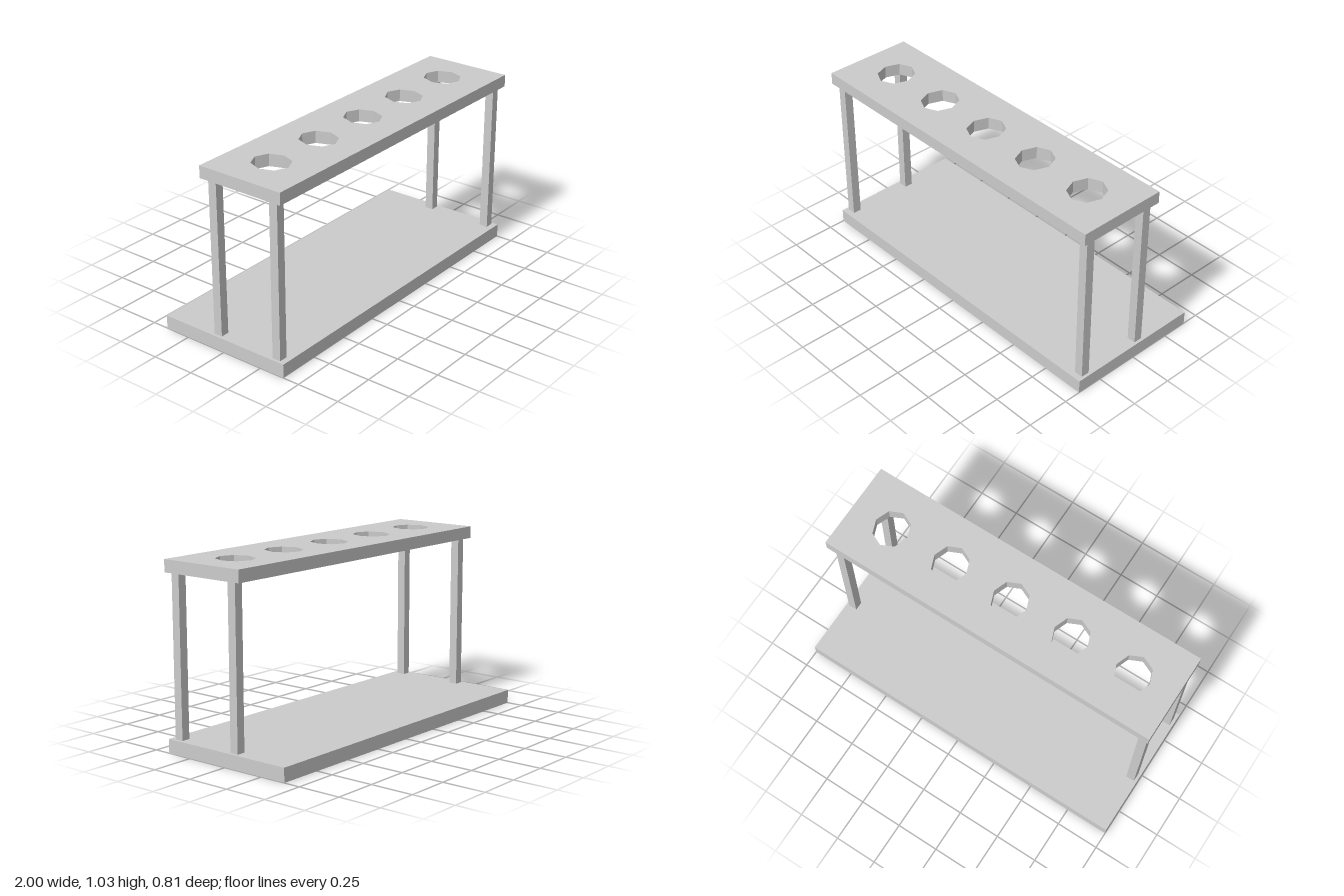
import * as THREE from 'three';

export function createModel() {
  const group = new THREE.Group();
  const material = new THREE.MeshStandardMaterial({ color: 0xcccccc, flatShading: true });

  const add = (name, geometry, x, y, z) => {
    const mesh = new THREE.Mesh(geometry, material);
    mesh.name = name;
    mesh.position.set(x, y, z);
    group.add(mesh);
    return mesh;
  };

  // Base board
  const baseTop = 0.078;
  add('base', new THREE.BoxGeometry(2, baseTop, 0.806), 0, baseTop / 2, 0);

  // Top shelf: board over the front part of the base, with a row of octagonal holes
  const shelfBottom = 0.962, shelfTop = 1.031;
  const front = 0.403, back = -0.116;
  const outline = new THREE.Shape([
    new THREE.Vector2(-1, back),
    new THREE.Vector2(1, back),
    new THREE.Vector2(1, front),
    new THREE.Vector2(-1, front),
  ]);
  for (let i = -2; i <= 2; i++) {
    const corners = [];
    for (let k = 0; k < 8; k++) {
      const a = (k * Math.PI) / 4;
      corners.push(new THREE.Vector2(i * 0.375 + 0.1 * Math.cos(a), 0.14 + 0.11 * Math.sin(a)));
    }
    outline.holes.push(new THREE.Path(corners));
  }
  const shelf = new THREE.ExtrudeGeometry(outline, { depth: shelfTop - shelfBottom, bevelEnabled: false });
  shelf.rotateX(Math.PI / 2); // shape y becomes z, extrusion runs downwards
  add('holedShelf', shelf, 0, shelfTop, 0);

  // Four square posts
  const postHeight = shelfBottom - baseTop;
  const post = new THREE.BoxGeometry(0.05, postHeight, 0.05);
  for (const [side, x] of [['Left', 0.958], ['Right', -0.958]]) {
    for (const [end, z] of [['front', 0.344], ['back', -0.05]]) {
      add(`${end}${side}Post`, post, x, baseTop + postHeight / 2, z);
    }
  }

  return group;
}
